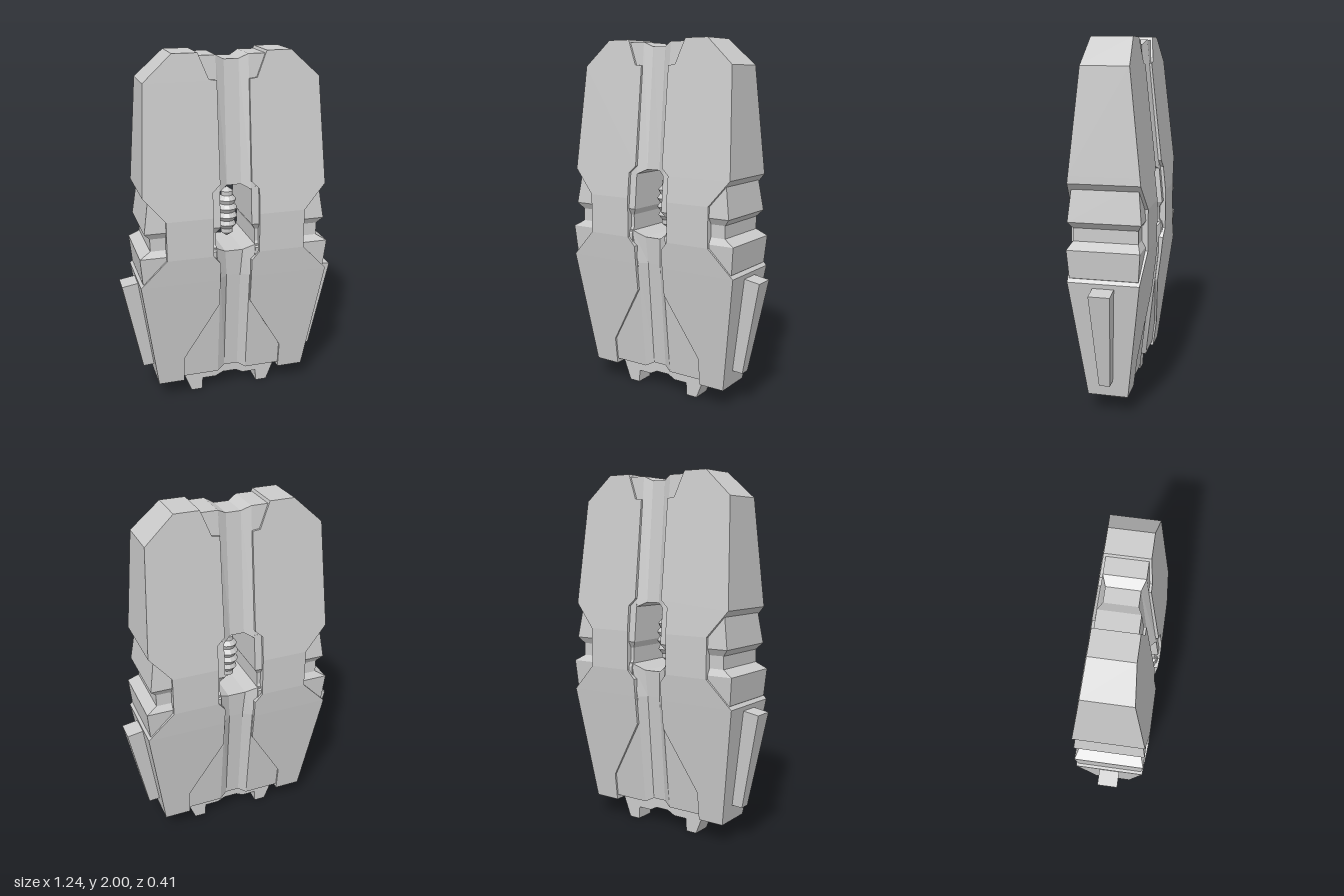
import * as THREE from 'three';

const material = new THREE.MeshStandardMaterial({ color: 0xcccccc, flatShading: true, side: THREE.DoubleSide });

// Straight-line lookup in a table of [y, value], listed from top to bottom
function at(table, y) {
  for (let i = 0; i < table.length - 1; i++) {
    const [y0, v0] = table[i], [y1, v1] = table[i + 1];
    if (y <= y0 && y >= y1) return v0 + (v1 - v0) * (y0 - y) / (y0 - y1);
  }
  return y > table[0][0] ? table[0][1] : table[table.length - 1][1];
}

// Half thickness of the body by height
const DEPTH = [[2, 0.11], [1.28, 0.19], [1.14, 0.205], [0.92, 0.205], [0.77, 0.19], [0.11, 0.11]];
const depth = (y) => at(DEPTH, y);

// Solid from a front grid of [x, y, z] (rows downward, columns toward +x), mirrored to the back
function slab(name, grid) {
  const pos = [];
  const back = ([x, y, z]) => [x, y, -z];
  const quad = (a, b, c, d) => pos.push(...a, ...b, ...c, ...a, ...c, ...d);
  const rows = grid.length, cols = grid[0].length;
  for (let i = 0; i < rows - 1; i++) {
    for (let j = 0; j < cols - 1; j++) {
      const a = grid[i][j], b = grid[i + 1][j], c = grid[i + 1][j + 1], d = grid[i][j + 1];
      quad(a, b, c, d);
      quad(back(d), back(c), back(b), back(a));
    }
  }
  // Side walls around the rim
  const rim = [
    ...grid.map((r) => r[0]),
    ...grid[rows - 1].slice(1),
    ...grid.slice(0, -1).reverse().map((r) => r[cols - 1]),
    ...grid[0].slice(1, -1).reverse(),
  ];
  rim.forEach((p, i) => {
    const q = rim[(i + 1) % rim.length];
    quad(p, back(p), back(q), q);
  });
  const geometry = new THREE.BufferGeometry();
  geometry.setAttribute('position', new THREE.Float32BufferAttribute(pos, 3));
  geometry.computeVertexNormals();
  const mesh = new THREE.Mesh(geometry, material);
  mesh.name = name;
  return mesh;
}

const mirrorGrid = (grid) => grid.map((r) => r.map(([x, y, z]) => [-x, y, z]).reverse());

// Row of points symmetric about x = 0, from its +x half listed inside to outside
const symmetricRow = (half) => [...half.map(([x, y, z]) => [-x, y, z]).reverse(), ...half];

export function createModel() {
  const model = new THREE.Group();
  model.name = 'model';
  const addPair = (name, grid) => {
    model.add(slab('left' + name, grid), slab('right' + name, mirrorGrid(grid)));
  };

  // Outer shells
  const outer = [[2, 0.32], [1.86, 0.475], [1.28, 0.51], [1.14, 0.39], [0.92, 0.39], [0.77, 0.535], [0.11, 0.44]];
  const inner = [[2, 0.185], [1.865, 0.13], [1.86, 0.088], [1.32, 0.088], [1.28, 0.13], [1.14, 0.13], [0.92, 0.13],
    [0.87, 0.09], [0.77, 0.09], [0.61, 0.09], [0.27, 0.29], [0.11, 0.29]];
  addPair('Shell', inner.map(([y, x]) => [[x, y, depth(y)], [at(outer, y), y, depth(y)]]));

  // Ridged waist blocks: [y, inner x, outer x, half thickness]
  const waist = [[1.29, 0.088, 0.475, 0.172], [1.08, 0.088, 0.507, 0.193], [1.045, 0.11, 0.475, 0.172],
    [0.975, 0.11, 0.475, 0.172], [0.94, 0.11, 0.535, 0.192], [0.79, 0.11, 0.522, 0.182], [0.77, 0.11, 0.49, 0.17]];
  addPair('WaistBlock', waist.map(([y, a, b, z]) => [[a, y, z], [b, y, z]]));

  // Grooved core above the opening
  const coreRow = (points, y) => symmetricRow(points.map(([x, py, k]) => [x, py, depth(y) * k]));
  model.add(slab('upperCore', [
    coreRow([[0.04, 1.96, 0.74], [0.088, 1.985, 0.91], [0.2, 1.985, 0.91]], 2),
    coreRow([[0.04, 1.3, 0.74], [0.088, 1.275, 0.91], [0.2, 1.275, 0.91]], 1.28),
  ]));

  // Grooved core below the opening
  model.add(slab('lowerCore', [
    coreRow([[0.05, 0.92, 0.72], [0.115, 0.96, 0.91], [0.3, 0.96, 0.91]], 0.92),
    coreRow([[0.04, 0.77, 0.72], [0.085, 0.77, 0.91], [0.3, 0.77, 0.91]], 0.77),
    coreRow([[0.04, 0.16, 0.72], [0.085, 0.137, 0.91], [0.3, 0.137, 0.91]], 0.14),
  ]));

  // Foot plate with two prongs
  model.add(slab('footPlate', [
    symmetricRow([[0.04, 0.2], [0.085, 0.2], [0.165, 0.2], [0.17, 0.2], [0.29, 0.14]].map(([x, y]) => [x, y, 0.055])),
    symmetricRow([[0.04, 0.095], [0.085, 0.072], [0.165, 0.072], [0.17, 0], [0.235, 0]].map(([x, y]) => [x, y, 0.055])),
  ]));

  // Tapered side fins
  addPair('SideFin', [
    [[0.5, 0.75, 0.057], [0.62, 0.73, 0.057]],
    [[0.42, 0.205, 0.03], [0.515, 0.2, 0.03]],
  ]);

  // Ribbed spindle inside the opening
  const ribs = 6, bottom = 0.955, top = 1.25;
  const profile = [];
  for (let i = 0; i <= ribs * 2; i++) {
    const t = i / (ribs * 2);
    const bulge = Math.sqrt(Math.max(0, 1 - (2 * t - 1) ** 2));
    profile.push(new THREE.Vector2(bulge * (i % 2 ? 0.062 : 0.045), bottom + (top - bottom) * t));
  }
  const spindle = new THREE.Mesh(new THREE.LatheGeometry(profile, 12), material);
  spindle.name = 'ribbedSpindle';
  model.add(spindle);

  return model;
}
